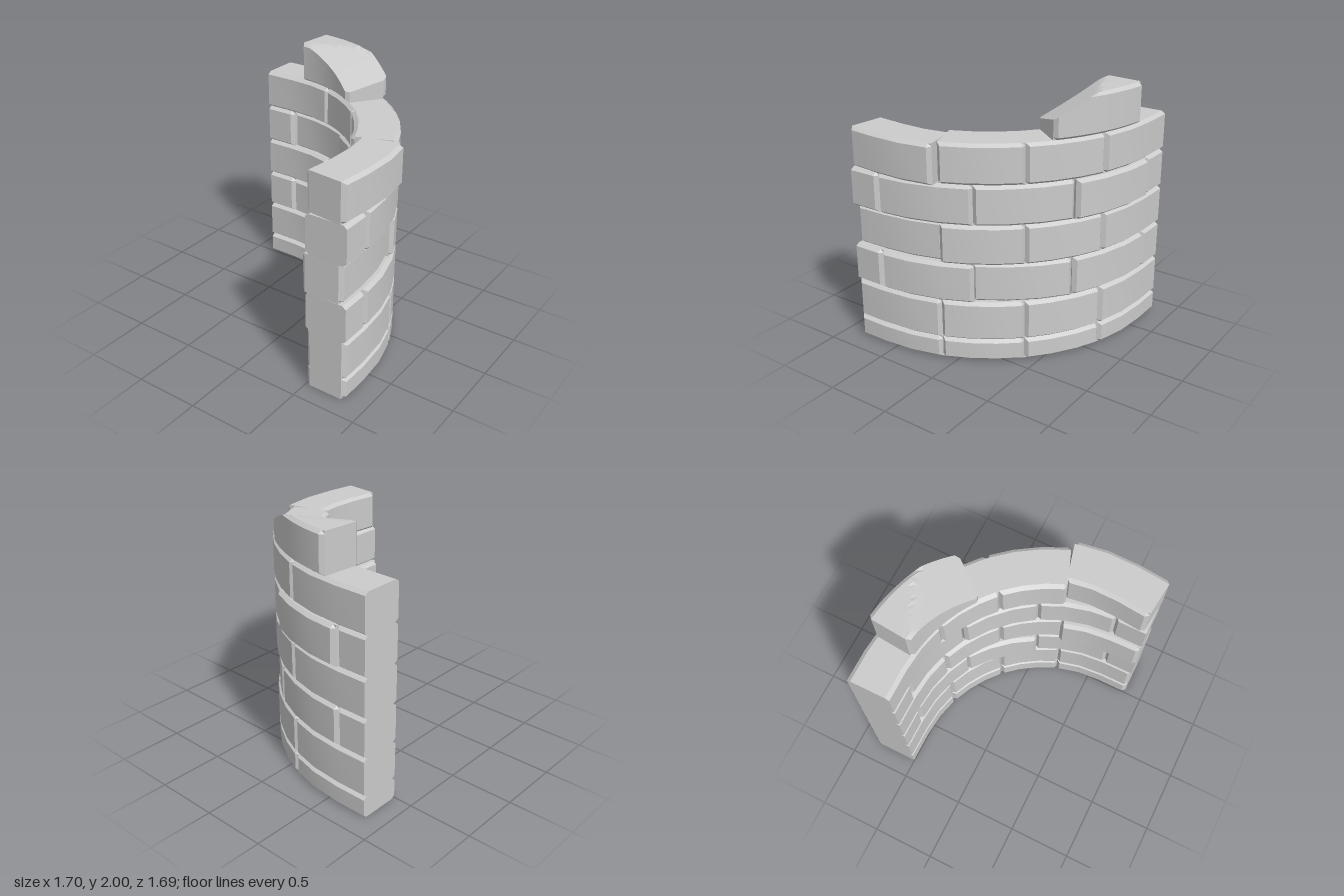
import * as THREE from 'three';
import { toCreasedNormals } from 'three/addons/utils/BufferGeometryUtils.js';

const C = -0.6;              // arc centre in x and z
const INNER = 1.1, OUTER = 1.43;
const BEVEL = 0.03, BEVEL_Y = 0.022;
const rad = THREE.MathUtils.degToRad;

// Wall path: a quarter arc (0 to 90 degrees) with short straight run-outs
function place(deg, r, y) {
  const a = rad(THREE.MathUtils.clamp(deg, 0, 90));
  const before = rad(Math.min(deg, 0)) * 1.42;
  const after = rad(Math.max(deg - 90, 0)) * 1.42;
  return new THREE.Vector3(C + r * Math.sin(a) + before, y, C + r * Math.cos(a) - after);
}

// Bevelled brick swept along the path; reshape(point, t, r) may chip it
function brickGeometry(a0, a1, y0, y1, { bevelStart = true, bevelEnd = true, segments = 3, topCuts = 1, reshape } = {}) {
  const section = [
    [INNER, y0 + BEVEL_Y], [INNER + BEVEL, y0], [OUTER - BEVEL, y0], [OUTER, y0 + BEVEL_Y], [OUTER, y1 - BEVEL_Y],
  ];
  for (let i = 0; i <= topCuts; i++) {
    section.push([THREE.MathUtils.lerp(OUTER - BEVEL, INNER + BEVEL, i / topCuts), y1]);
  }
  section.push([INNER, y1 - BEVEL_Y]);

  // Stations along the brick; the bevelled ends are pulled in
  const stations = [];
  const edge = 1.1;
  for (let i = 0; i <= segments; i++) {
    const a = a0 + (a1 - a0) * i / segments;
    if (i === 0 && bevelStart) stations.push([a, BEVEL], [a + edge, 0]);
    else if (i === segments && bevelEnd) stations.push([a - edge, 0], [a, BEVEL]);
    else stations.push([a, 0]);
  }

  const pos = [], index = [], n = section.length;
  for (const [a, inset] of stations) {
    for (const [r, y] of section) {
      const rr = THREE.MathUtils.clamp(r, INNER + inset, OUTER - inset);
      const p = place(a, rr, y);
      if (reshape) reshape(p, (a - a0) / (a1 - a0), rr);
      pos.push(p.x, p.y, p.z);
    }
  }
  const last = (stations.length - 1) * n;
  for (let s = 0; s < last; s += n) {
    for (let j = 0; j < n; j++) {
      const k = (j + 1) % n;
      index.push(s + j, s + n + j, s + k, s + k, s + n + j, s + n + k);
    }
  }
  for (let j = 1; j < n - 1; j++) {
    index.push(0, j, j + 1, last, last + j + 1, last + j);
  }
  const g = new THREE.BufferGeometry();
  g.setAttribute('position', new THREE.Float32BufferAttribute(pos, 3));
  g.setIndex(index);
  return g;
}

export function createModel() {
  const model = new THREE.Group();
  const stone = new THREE.MeshStandardMaterial({ color: 0xcccccc });

  function addBrick(name, geometry, [dx, dz, turn] = [0, 0, 0]) {
    // Nudge and turn a loose brick about its own centre
    geometry.computeBoundingBox();
    const c = geometry.boundingBox.getCenter(new THREE.Vector3());
    geometry.translate(-c.x, 0, -c.z).rotateY(rad(turn)).translate(c.x + dx, 0, c.z + dz);
    const mesh = new THREE.Mesh(toCreasedNormals(geometry, rad(19)), stone);
    mesh.name = name;
    return mesh;
  }

  // Joint angles of the two alternating bonds
  const bondA = [-10, 20, 45, 70, 100];
  const bondB = [-10, 0, 30, 60, 90, 100];
  const courses = [
    [0, 0.17, bondA], [0.17, 0.478, bondA], [0.478, 0.782, bondB],
    [0.782, 1.088, bondA], [1.088, 1.392, bondB], [1.392, 1.695, bondA],
  ];

  // Loose bricks: [dx, dz, turn in degrees], keyed by course and brick
  const loose = {
    '2-2': [-0.014, -0.014, -3.5],
    '3-0': [0, -0.042, 1.2],
    '4-3': [0.02, 0.008, 0],
    '5-0': [0.01, 0.02, -6],
  };

  // Broken inner top corner
  const chip = (p, t, r) => {
    if (t > 0.99 && r < 1.2 && p.y > 1) p.y -= 0.13;
  };

  courses.forEach(([y0, y1, joints], row) => {
    const course = new THREE.Group();
    course.name = 'brickCourse' + (row + 1);
    for (let i = 0; i < joints.length - 1; i++) {
      const key = row + '-' + i;
      const short = joints[i + 1] - joints[i] < 15;
      const geometry = brickGeometry(joints[i], joints[i + 1], y0, y1, {
        bevelStart: i > 0 || joints === bondA,
        bevelEnd: i < joints.length - 2,
        segments: short ? 1 : 3,
        reshape: key === '3-0' ? chip : undefined,
      });
      course.add(addBrick('brick' + (i + 1), geometry, loose[key]));
    }
    model.add(course);
  });

  // Single brick on top, its front broken off along a slanted plane
  const broken = brickGeometry(53, 85, 1.695, 2, {
    segments: 14, topCuts: 8,
    reshape: (p) => { p.y = Math.min(p.y, 1.65 + 0.48 * p.x - 0.23 * p.z); },
  });
  model.add(addBrick('brokenTopBrick', broken));

  return model;
}
